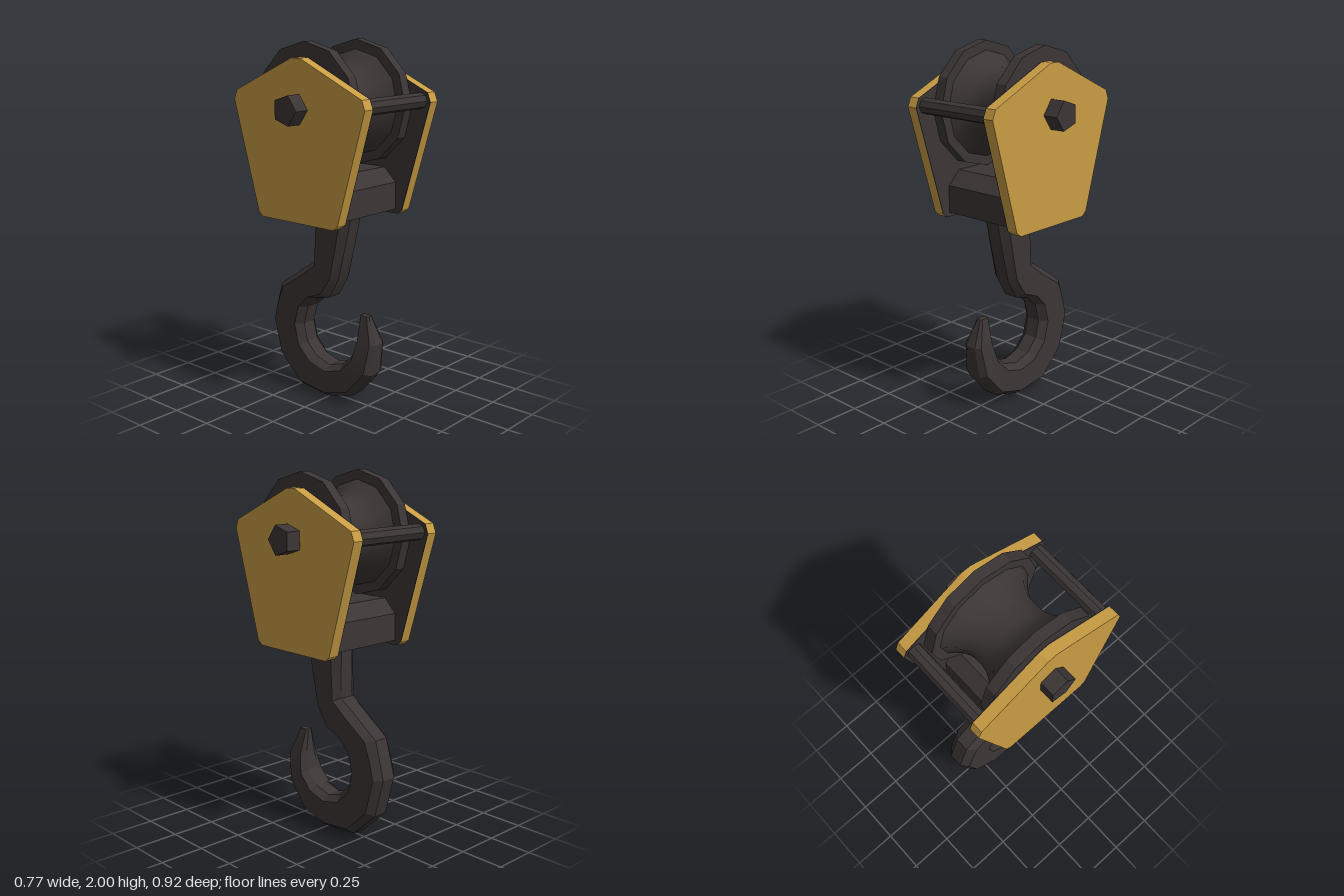
import * as THREE from 'three';
import { toCreasedNormals } from 'three/addons/utils/BufferGeometryUtils.js';

const yellow = new THREE.MeshStandardMaterial({ color: 0xc89c43 });
yellow.name = 'yellow paint';
const steel = new THREE.MeshStandardMaterial({ color: 0x3c3535 });
steel.name = 'dark steel';

// Prism from a (z, y) outline, running in x from x0 to x1
function prism(points, x0, x1) {
  const shape = new THREE.Shape(points.map(([z, y]) => new THREE.Vector2(z, y)));
  const geo = new THREE.ExtrudeGeometry(shape, { depth: x1 - x0, bevelEnabled: false });
  return geo.rotateY(-Math.PI / 2).translate(x1, 0, 0);
}

// Faceted cylinder lying along x
function bar(radius, x0, x1, sides, y, z = 0) {
  const geo = new THREE.CylinderGeometry(radius, radius, x1 - x0, sides);
  geo.rotateZ(Math.PI / 2).translate((x0 + x1) / 2, y, z);
  return toCreasedNormals(geo, 0.3);
}

// Outline symmetric in z, given as its +z half from bottom to top
const mirrored = (half) => [...half, ...half.map(([z, y]) => [-z, y]).reverse()];

// Hook: chamfered cross-sections between inner and outer curve
// Each station: inner z, y, outer z, y, half thickness
function hookGeometry() {
  const stations = [
    [0.165, 1.12, -0.105, 1.12, 0.083],
    [0.115, 0.9, -0.105, 0.92, 0.083],
    [0.065, 0.7, -0.105, 0.78, 0.083],
    [0, 0.59, -0.2, 0.72, 0.083],
    [-0.09, 0.565, -0.37, 0.6, 0.083],
    [-0.165, 0.5, -0.4, 0.5, 0.083],
    [-0.195, 0.39, -0.43, 0.39, 0.083],
    [-0.17, 0.29, -0.37, 0.17, 0.083],
    [-0.1, 0.22, -0.21, 0.02, 0.083],
    [0, 0.19, 0, 0, 0.083],
    [0.1, 0.22, 0.17, 0.05, 0.083],
    [0.17, 0.29, 0.3, 0.2, 0.08],
    [0.195, 0.38, 0.325, 0.38, 0.06],
    [0.2, 0.525, 0.26, 0.525, 0.02],
  ];
  const section = [[-0.5, 0], [0.5, 0], [1, 0.16], [1, 0.84], [0.5, 1], [-0.5, 1], [-1, 0.84], [-1, 0.16]];
  const n = section.length;
  const positions = [];
  const index = [];
  stations.forEach(([iz, iy, oz, oy, w], s) => {
    section.forEach(([x, u], j) => {
      positions.push(x * w, iy + (oy - iy) * u, iz + (oz - iz) * u);
      if (s === stations.length - 1) return;
      const a = s * n + j, b = s * n + (j + 1) % n;
      index.push(a, a + n, b, b, a + n, b + n);
    });
  });
  const last = (stations.length - 1) * n;
  for (let k = 1; k < n - 1; k++) {
    index.push(0, k, k + 1, last, last + k + 1, last + k);
  }
  const geo = new THREE.BufferGeometry();
  geo.setAttribute('position', new THREE.Float32BufferAttribute(positions, 3));
  geo.setIndex(index);
  return toCreasedNormals(geo, 0.3);
}

export function createModel() {
  const group = new THREE.Group();
  const add = (name, geo, mat) => {
    const mesh = new THREE.Mesh(geo, mat);
    mesh.name = name;
    group.add(mesh);
  };
  const axleY = 1.66;

  // Side plates with dark inner faces, flanges, bolts
  const plate = mirrored([[0.255, 1.06], [0.285, 1.085], [0.46, 1.685], [0.44, 1.735], [0.03, 1.92]]);
  for (const [side, s] of [['left', 1], ['right', -1]]) {
    const span = (a, b) => (s > 0 ? [a, b] : [-b, -a]);
    add(side + 'SidePlate', prism(plate, ...span(0.24, 0.3)), yellow);
    add(side + 'PlateInnerFace', prism(plate, ...span(0.236, 0.24)), steel);
    add(side + 'SheaveFlange', bar(0.342, ...span(0.175, 0.235), 12, axleY), steel);
    add(side + 'AxleBolt', bar(0.083, ...span(0.3, 0.385), 5, axleY), steel);
  }

  // Grooved sheave drum, smooth around the axle
  const groove = [[0.29, 0.176], [0.235, 0.12], [0.211, 0.075], [0.202, 0.035]];
  const profile = [
    ...groove.map(([r, x]) => new THREE.Vector2(r, -x)),
    ...groove.map(([r, x]) => new THREE.Vector2(r, x)).reverse(),
  ];
  const drum = new THREE.LatheGeometry(profile, 12).rotateZ(Math.PI / 2).translate(0, axleY, 0);
  add('sheaveGroove', toCreasedNormals(drum, 0.8), steel);

  // Tie rods
  add('frontTieRod', bar(0.043, -0.24, 0.24, 8, 1.69, 0.397), steel);
  add('backTieRod', bar(0.043, -0.24, 0.24, 8, 1.69, -0.397), steel);

  // Crosshead block and hook
  const block = mirrored([[0.24, 1.085], [0.237, 1.235], [0.16, 1.312]]);
  add('crossheadBlock', prism(block, -0.238, 0.238), steel);
  add('hook', hookGeometry(), steel);
  return group;
}
